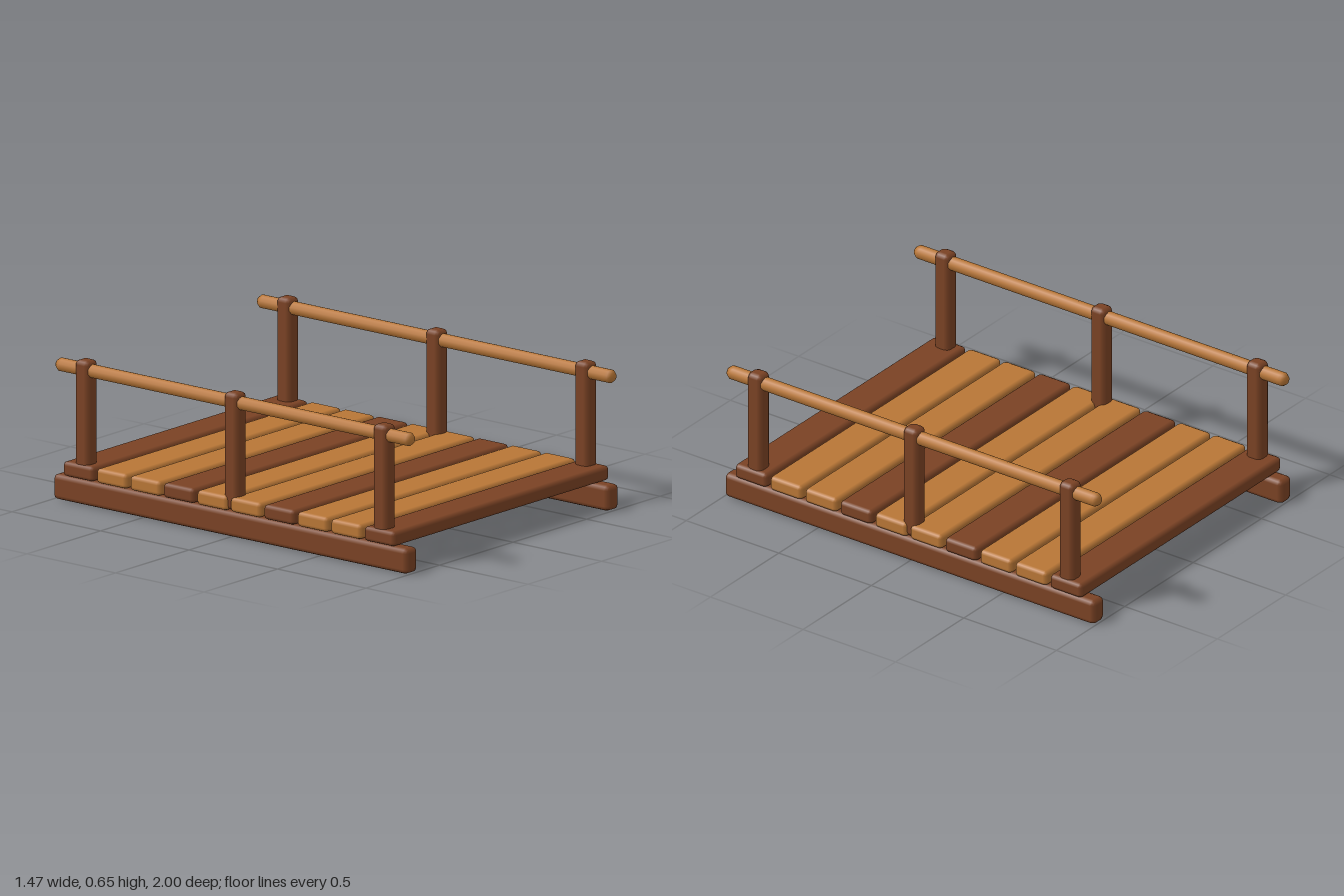
import * as THREE from 'three';
import { RoundedBoxGeometry } from 'three/addons/geometries/RoundedBoxGeometry.js';

const darkWood = new THREE.MeshStandardMaterial({ color: 0x7a4224 });
darkWood.name = 'dark wood';
const lightWood = new THREE.MeshStandardMaterial({ color: 0xb87636 });
lightWood.name = 'light wood';

const SIDE_X = 0.685; // centre line of beams, posts and rails

export function createModel() {
  const bridge = new THREE.Group();
  bridge.name = 'footbridge';

  const add = (name, geometry, material, x, y, z) => {
    const mesh = new THREE.Mesh(geometry, material);
    mesh.name = name;
    mesh.position.set(x, y, z);
    bridge.add(mesh);
    return mesh;
  };

  // Deck: ten planks, every third one dark
  const plank = new RoundedBoxGeometry(1.47, 0.068, 0.172, 1, 0.018);
  for (let i = 0; i < 10; i++) {
    add('plank' + (i + 1), plank, i % 3 === 0 ? darkWood : lightWood, 0, 0.15, -0.851 + i * 0.1891);
  }

  // Round rail with bevelled ends
  const railProfile = [
    [0, -1], [0.02, -1], [0.031, -0.985], [0.031, -0.97],
    [0.031, 0.97], [0.031, 0.985], [0.02, 1], [0, 1],
  ].map(([r, y]) => new THREE.Vector2(r, y));
  const rail = new THREE.LatheGeometry(railProfile, 10).rotateX(Math.PI / 2);

  const beam = new RoundedBoxGeometry(0.082, 0.115, 2, 1, 0.022);
  const post = new RoundedBoxGeometry(0.076, 0.53, 0.078, 1, 0.022);

  // Both sides: ground beam, three posts and a handrail
  for (const [side, s] of [['left', 1], ['right', -1]]) {
    const x = s * SIDE_X;
    add(side + 'Beam', beam, darkWood, x, 0.0575, 0);
    add(side + 'Rail', rail, lightWood, x, 0.602, 0);
    [['front', 0.842], ['middle', 0], ['back', -0.842]].forEach(([where, z]) =>
      add(`${side}Post_${where}`, post, darkWood, x, 0.384, z));
  }

  return bridge;
}
